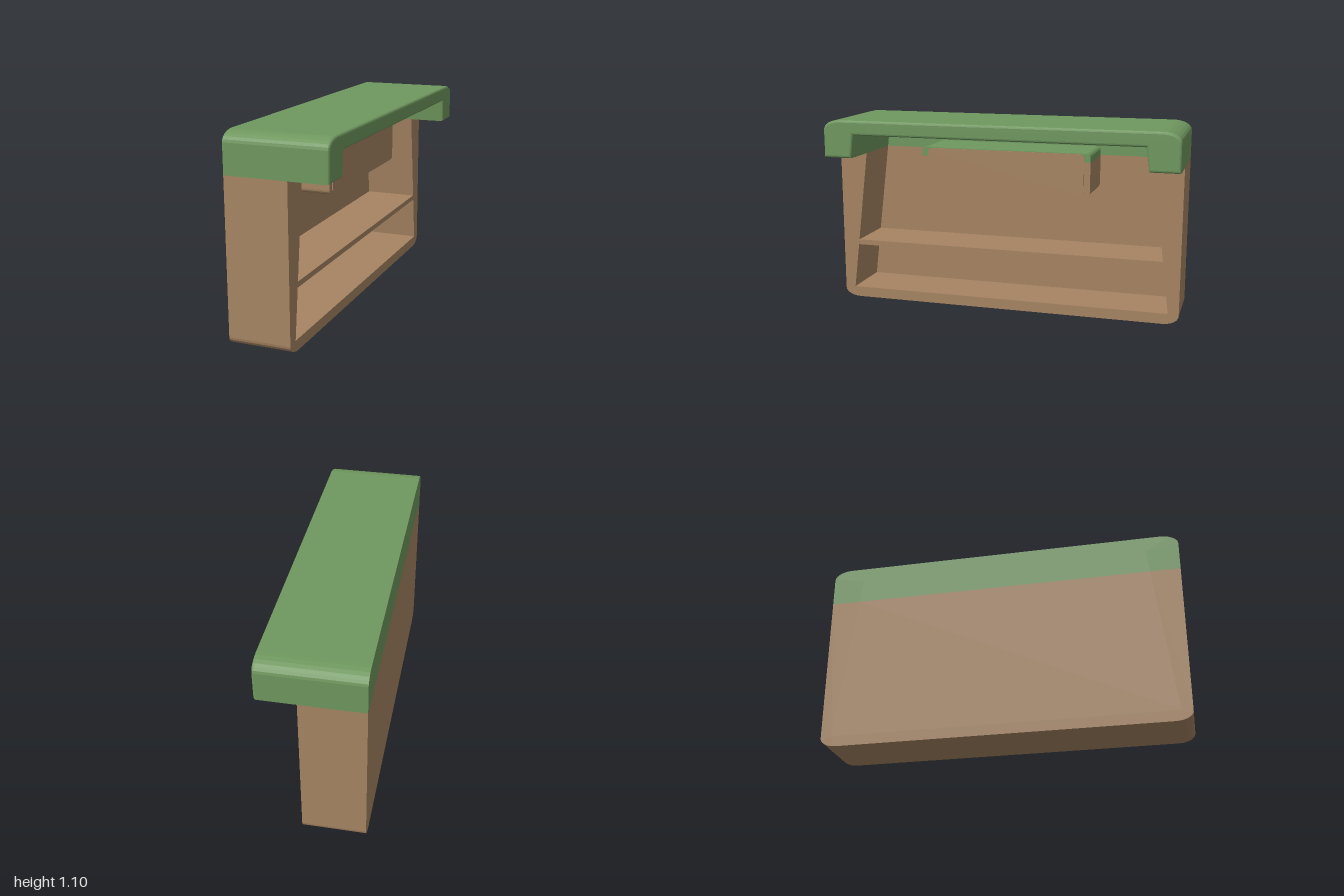
import * as THREE from 'three';

const mat = (name, color) => {
  const m = new THREE.MeshStandardMaterial({ color });
  m.name = name;
  return m;
};

// Closed shape across the length (z) and height (y)
const polygon = (pts) => new THREE.Shape(pts.map(([a, b]) => new THREE.Vector2(a, b)));

// Quarter-ellipse corner points between two angles in degrees
const corner = (cx, cy, rx, ry, from, to, n = 6) =>
  Array.from({ length: n + 1 }, (_, i) => {
    const t = THREE.MathUtils.degToRad(from + ((to - from) * i) / n);
    return [cx + rx * Math.cos(t), cy + ry * Math.sin(t)];
  });

// Half-width of the tapered opening at a given height
const openHalf = (y) => 0.94 - (y - 0.06) * (0.12 / 0.95);

export function createModel() {
  const group = new THREE.Group();
  const wood = mat('brown wood', 0xa68462);
  const green = mat('green top', 0x6f975e);
  const BACK = -0.275, FRONT = 0.063, EDGE = 0.275, WALL = -0.25, SPLIT = 0.88;

  const add = (name, shape, x0, x1, material, bevel = 0) => {
    const geo = new THREE.ExtrudeGeometry(shape, {
      depth: x1 - x0 - 2 * bevel,
      bevelEnabled: bevel > 0,
      bevelThickness: bevel,
      bevelSize: bevel,
      bevelOffset: -bevel,
      bevelSegments: 3,
    });
    geo.translate(0, 0, x0 + bevel);
    geo.rotateY(Math.PI / 2);
    const mesh = new THREE.Mesh(geo, material);
    mesh.name = name;
    group.add(mesh);
  };

  const trapezoid = (y0, y1) => polygon([
    [-openHalf(y0), y0], [openHalf(y0), y0], [openHalf(y1), y1], [-openHalf(y1), y1],
  ]);

  // Cabinet surround: base and two ends around the tapered opening
  const h = openHalf(SPLIT);
  add('cabinetBody', polygon([
    ...corner(-0.91, 0.05, 0.09, 0.05, 180, 270),
    ...corner(0.91, 0.05, 0.09, 0.05, 270, 360),
    [1, SPLIT], [h, SPLIT], [openHalf(0.06), 0.06], [-openHalf(0.06), 0.06], [-h, SPLIT], [-1, SPLIT],
  ]), BACK, FRONT, wood);
  add('backPanel', trapezoid(0.06, SPLIT), BACK, WALL, wood);
  add('shelf', trapezoid(0.325, 0.355), WALL, FRONT - 0.001, wood);

  // Countertop with lowered ends, and a softened overhanging edge
  const top = polygon([
    [h, SPLIT], [1, SPLIT],
    ...corner(0.9, 1.04, 0.1, 0.055, 0, 90),
    ...corner(-0.9, 1.04, 0.1, 0.055, 90, 180),
    [-1, SPLIT], [-h, SPLIT], [-openHalf(1.01), 1.01], [openHalf(1.01), 1.01],
  ]);
  add('countertop', top, BACK, 0.2, green);
  add('countertopEdge', top, 0.18, EDGE, green, 0.014);
  add('backPanelTop', trapezoid(SPLIT, 1.01), BACK, WALL, green);

  // Hanging drawer, its sides changing colour at the counter line
  const W = 0.49, r = 0.025;
  add('drawerBody', polygon([
    ...corner(-W + r, 0.69 + r, r, r, 180, 270, 4),
    ...corner(W - r, 0.69 + r, r, r, 270, 360, 4),
    [W, SPLIT], [-W, SPLIT],
  ]), WALL, 0.056, wood);
  add('drawerTop', polygon([
    [-W, SPLIT], [W, SPLIT],
    ...corner(W - r, 0.93 - r, r, r, 0, 90, 4),
    ...corner(-W + r, 0.93 - r, r, r, 90, 180, 4),
  ]), WALL, 0.056, green);
  const P = 0.455;
  add('drawerFront', polygon([
    ...corner(-P + r, 0.693 + r, r, r, 180, 270, 4),
    ...corner(P - r, 0.693 + r, r, r, 270, 360, 4),
    ...corner(P - r, 0.927 - r, r, r, 0, 90, 4),
    ...corner(-P + r, 0.927 - r, r, r, 90, 180, 4),
  ]), 0.056, 0.062, wood);

  return group;
}
